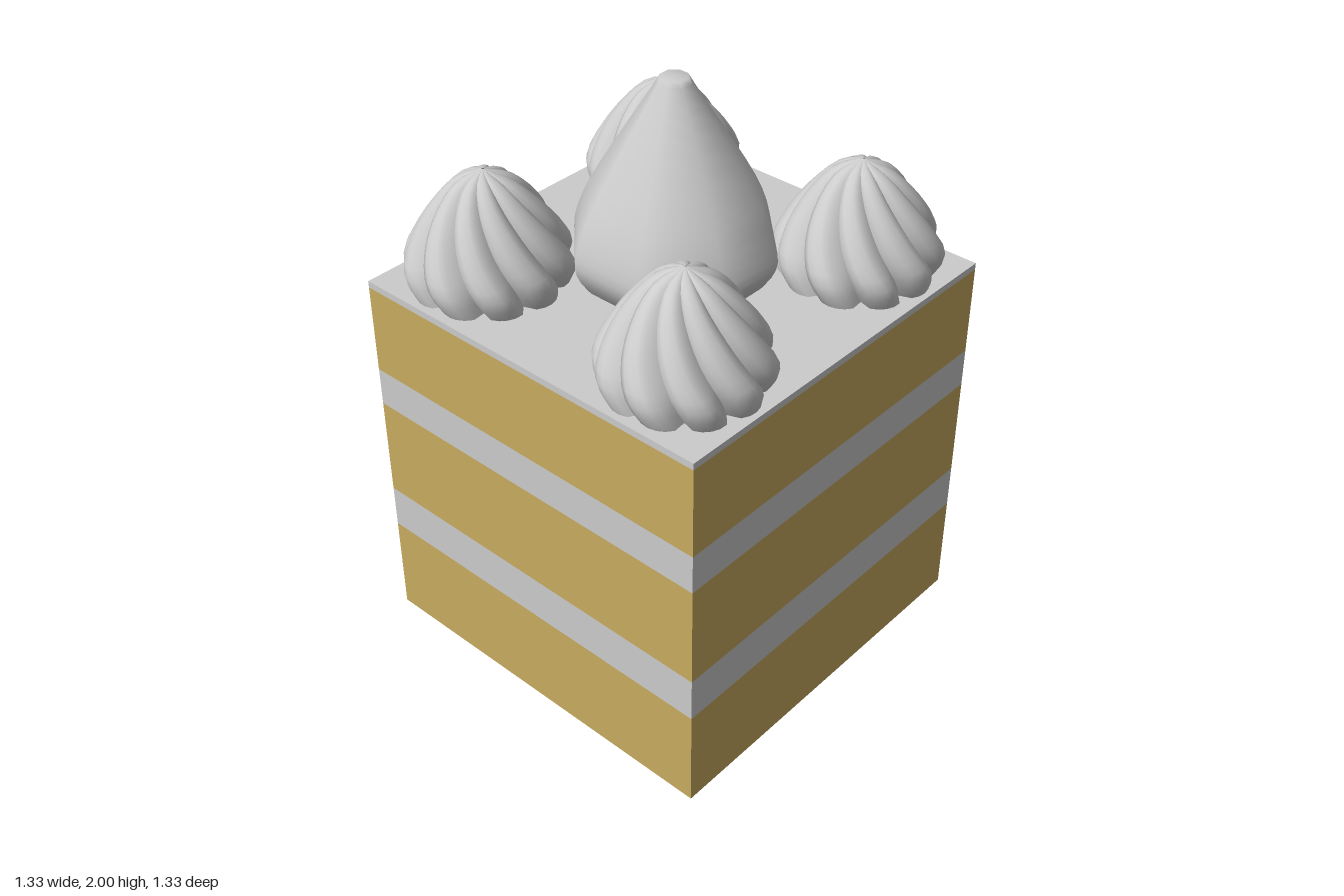
import * as THREE from 'three';

const SIDE = 1.33, CAKE_TOP = 1.333;

// Samples a smooth curve through a few [radius, height] points
function profile(points, steps) {
  const curve = new THREE.SplineCurve(points.map(([r, y]) => new THREE.Vector2(r, y)));
  return { at: (t) => curve.getPoint(t), list: curve.getPoints(steps) };
}

// One twisted, rounded ridge of a piped cream swirl: a bent plane running from base to tip
function ridgeGeometry(count) {
  const outline = profile([[0.235, -0.025], [0.268, 0.07], [0.235, 0.16], [0.17, 0.26], [0.09, 0.345], [0.004, 0.382]], 12);
  const geo = new THREE.PlaneGeometry(1, 1, 6, 14);
  const pos = geo.attributes.position;
  for (let i = 0; i < pos.count; i++) {
    const u = pos.getX(i), t = pos.getY(i) + 0.5;
    const p = outline.at(t);
    const bulge = 0.8 + 0.2 * Math.sqrt(Math.max(0, 1 - 4 * u * u));
    const angle = (u / count) * Math.PI * 2 + (1 - t) * 1.1;
    const r = p.x * bulge;
    pos.setXYZ(i, r * Math.sin(angle), p.y, r * Math.cos(angle));
  }
  geo.computeVertexNormals();
  return geo;
}

export function createModel() {
  const model = new THREE.Group();
  const sponge = new THREE.MeshStandardMaterial({ color: 0xc8ab60 });
  const cream = new THREE.MeshStandardMaterial({ color: 0xcccccc });
  const swirlCream = new THREE.MeshStandardMaterial({ color: 0xcccccc, side: THREE.DoubleSide });

  // Square cake of alternating sponge and cream layers
  const levels = [0, 0.355, 0.51, 0.865, 1.0, 1.31, CAKE_TOP];
  for (let i = 0; i < levels.length - 1; i++) {
    const h = levels[i + 1] - levels[i];
    const layer = new THREE.Mesh(new THREE.BoxGeometry(SIDE, h, SIDE), i % 2 ? cream : sponge);
    layer.position.y = levels[i] + h / 2;
    layer.name = i % 2 ? 'creamLayer' : 'spongeLayer';
    model.add(layer);
  }

  // Eight-sided berry in the middle
  const berryOutline = profile([[0.27, 1.32], [0.322, 1.4], [0.325, 1.48], [0.275, 1.61],
    [0.165, 1.8], [0.085, 1.93], [0.045, 2]], 16).list;
  const berry = new THREE.Mesh(
    new THREE.LatheGeometry([...berryOutline, new THREE.Vector2(0, 2)], 8, Math.PI / 8),
    cream);
  berry.name = 'berry';
  model.add(berry);

  // Piped cream swirl on each corner
  const RIDGES = 10;
  const ridge = ridgeGeometry(RIDGES);
  for (const x of [-0.4, 0.4]) {
    for (const z of [-0.4, 0.4]) {
      const swirl = new THREE.Group();
      swirl.name = 'creamSwirl';
      for (let i = 0; i < RIDGES; i++) {
        const mesh = new THREE.Mesh(ridge, swirlCream);
        mesh.rotation.y = (i / RIDGES) * Math.PI * 2;
        mesh.name = 'swirlRidge';
        swirl.add(mesh);
      }
      swirl.position.set(x, CAKE_TOP, z);
      model.add(swirl);
    }
  }
  return model;
}
